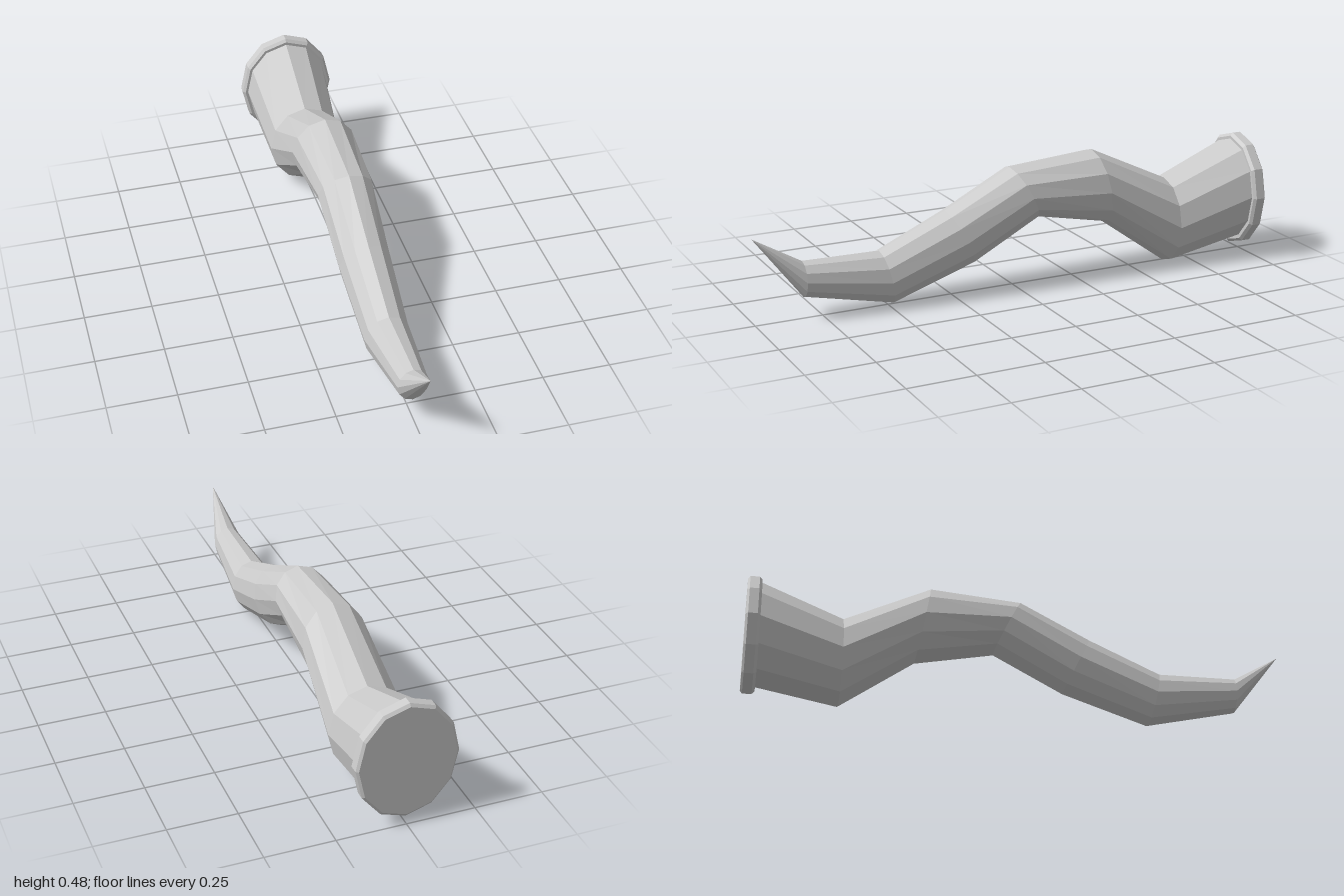
import * as THREE from 'three';

const SIDES = 12;

// Each ring: [half width, top z, top y, bottom z, bottom y]; a zero half width is a point
function loft(name, rings, material) {
  const point = ([rx, tz, ty, bz, by], i) => {
    const a = (i / SIDES) * Math.PI * 2;
    const c = Math.cos(a) / 2;
    return [rx * Math.sin(a), (ty + by) / 2 + (ty - by) * c, (tz + bz) / 2 + (tz - bz) * c];
  };
  const positions = [];
  for (let r = 0; r < rings.length - 1; r++) {
    const near = rings[r], far = rings[r + 1];
    for (let i = 0; i < SIDES; i++) {
      const a = point(near, i), b = point(far, i);
      const c = point(near, i + 1), d = point(far, i + 1);
      if (near[0] > 0) positions.push(...a, ...b, ...c);
      if (far[0] > 0) positions.push(...c, ...b, ...d);
    }
  }
  const geometry = new THREE.BufferGeometry();
  geometry.setAttribute('position', new THREE.Float32BufferAttribute(positions, 3));
  geometry.computeVertexNormals();
  const mesh = new THREE.Mesh(geometry, material);
  mesh.name = name;
  return mesh;
}

export function createModel() {
  const group = new THREE.Group();
  group.name = 'wavyHorn';
  const material = new THREE.MeshStandardMaterial({ color: 0xcccccc, flatShading: true });

  // Wavy tapering shaft ending in an upturned tip
  group.add(loft('hornShaft', [
    [0.165, -0.96, 0.456, -0.96, 0.06],
    [0.14, -0.65, 0.332, -0.65, 0.002],
    [0.122, -0.33, 0.483, -0.38, 0.195],
    [0.105, 0.01, 0.455, -0.09, 0.255],
    [0.096, 0.27, 0.325, 0.17, 0.115],
    [0.083, 0.53, 0.21, 0.49, 0.008],
    [0.055, 0.82, 0.215, 0.82, 0.082],
    [0, 1, 0.32, 1, 0.32],
  ], material));

  // Bevelled collar closing the wide end
  const collarY = 0.252;
  const collar = [[0, -1], [0.174, -1], [0.183, -0.992], [0.183, -0.958], [0.174, -0.948], [0, -0.948]];
  group.add(loft('baseCollar', collar.map(([rx, z]) => {
    const ry = rx * 1.21;
    return [rx, z, collarY + ry, z, collarY - ry];
  }), material));

  return group;
}
